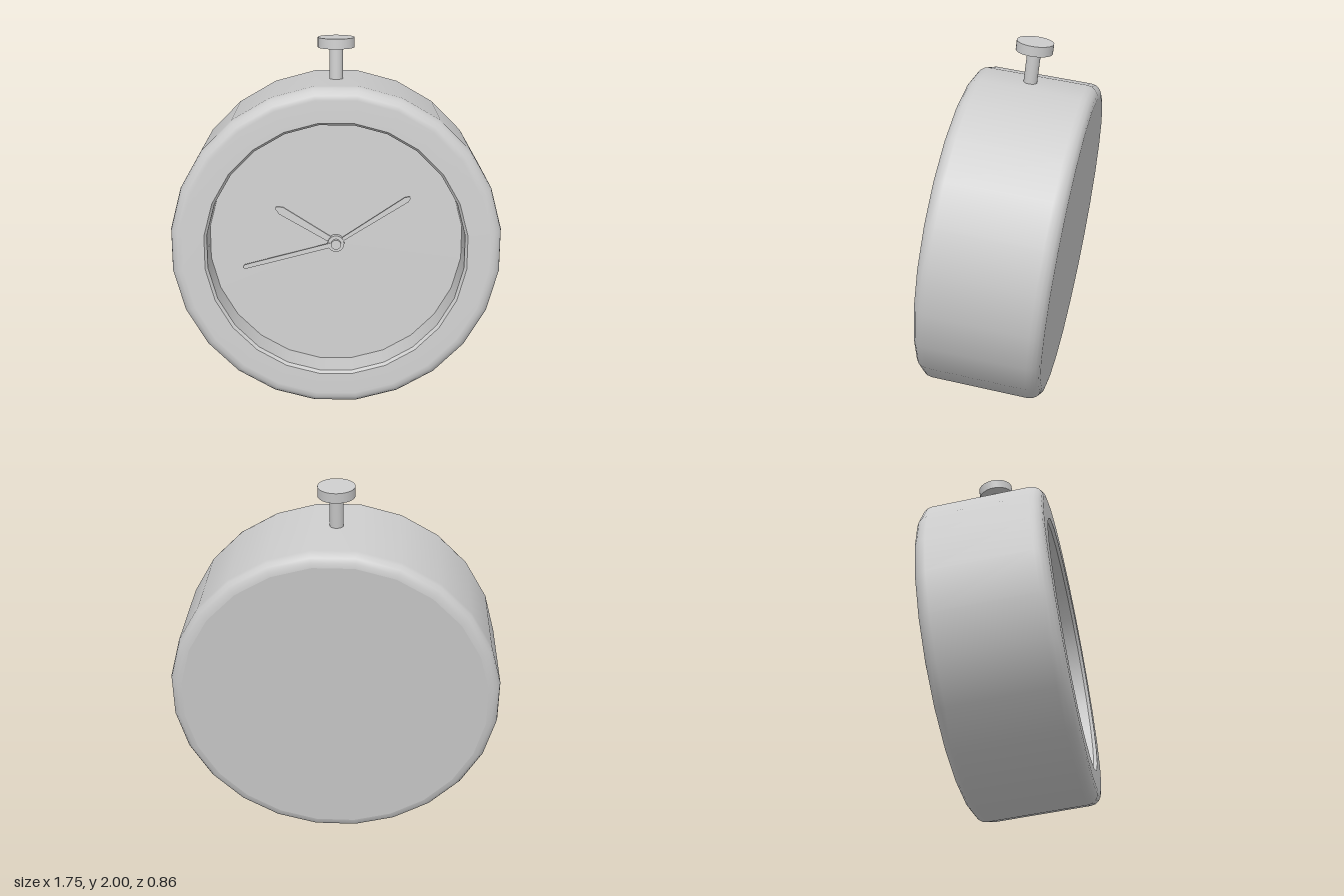
import * as THREE from 'three';

const SIDES = 24;
const TILT = 0.12; // the clock leans back
const R = 0.882, H = 0.333, BEVEL = 0.065; // case radius, half depth, edge rounding
const DIAL_Z = 0.15;

const material = new THREE.MeshStandardMaterial({ color: 0xcccccc });

function add(parent, name, geometry, x = 0, y = 0, z = 0) {
  const mesh = new THREE.Mesh(geometry, material);
  mesh.name = name;
  mesh.position.set(x, y, z);
  parent.add(mesh);
  return mesh;
}

// Lathe about the z axis, with flats at top and sides; profile is [radius, z]
function turned(profile) {
  const points = profile.map(([r, z]) => new THREE.Vector2(r, z));
  return new THREE.LatheGeometry(points, SIDES, Math.PI / SIDES).rotateX(Math.PI / 2);
}

// Rounded edge from angle a to b around a corner centre
function arc(r, z, a, b, steps = 4) {
  return Array.from({ length: steps + 1 }, (_, i) => {
    const t = a + ((b - a) * i) / steps;
    return [r + BEVEL * Math.cos(t), z + BEVEL * Math.sin(t)];
  });
}

// Flat hand that widens outward and ends in a point
function handGeometry(length, baseWidth, tipWidth) {
  const neck = length - tipWidth * 0.9;
  const shape = new THREE.Shape([
    new THREE.Vector2(0, -baseWidth / 2),
    new THREE.Vector2(neck, -tipWidth / 2),
    new THREE.Vector2(length - 0.006, -tipWidth / 6),
    new THREE.Vector2(length - 0.006, tipWidth / 6),
    new THREE.Vector2(neck, tipWidth / 2),
    new THREE.Vector2(0, baseWidth / 2),
  ]);
  return new THREE.ExtrudeGeometry(shape, { depth: 0.008, bevelEnabled: false });
}

export function createModel() {
  const model = new THREE.Group();
  model.name = 'tableClock';
  const clock = new THREE.Group();
  clock.name = 'clock';
  clock.position.y = 0.9;
  clock.rotation.x = -TILT;
  model.add(clock);

  // Case: rounded drum with a broad front rim
  const c = R - BEVEL, e = H - BEVEL;
  add(clock, 'case', turned([
    ...arc(c, -e, -Math.PI / 2, 0),
    ...arc(c, e, 0, Math.PI / 2),
    [0.7, H],
  ]));
  add(clock, 'backPanel', turned([[0, -H], [c, -H]]));

  // Recess and dial
  add(clock, 'rimEdge', turned([[0.7, H], [0.687, H - 0.018]]));
  add(clock, 'recessWall', turned([[0.687, H - 0.018], [0.687, DIAL_Z]]));
  add(clock, 'dial', turned([[0.687, DIAL_Z], [0, DIAL_Z]]));

  // Hands: name, length, base width, tip width, angle in degrees
  [
    ['hourHand', 0.386, 0.03, 0.044, 148.5],
    ['minuteHand', 0.48, 0.018, 0.032, 33],
    ['secondHand', 0.53, 0.026, 0.024, 194.8],
  ].forEach(([name, length, base, tip, degrees], i) => {
    const hand = add(clock, name, handGeometry(length, base, tip), 0, 0, DIAL_Z + 0.006 + i * 0.01);
    hand.rotation.z = THREE.MathUtils.degToRad(degrees);
  });

  // Pivot
  add(clock, 'pivotHub', new THREE.CylinderGeometry(0.045, 0.045, 0.03, 20).rotateX(Math.PI / 2), 0, 0, DIAL_Z + 0.015);
  add(clock, 'pivotCap', new THREE.CylinderGeometry(0.027, 0.027, 0.05, 20).rotateX(Math.PI / 2), 0, 0, DIAL_Z + 0.025);

  // Push button on top
  add(clock, 'buttonStem', new THREE.CylinderGeometry(0.036, 0.036, 0.22, SIDES), 0, 0.95, 0.02);
  add(clock, 'button', new THREE.CylinderGeometry(0.097, 0.097, 0.053, 32), 0, 1.067, 0.02);

  return model;
}
